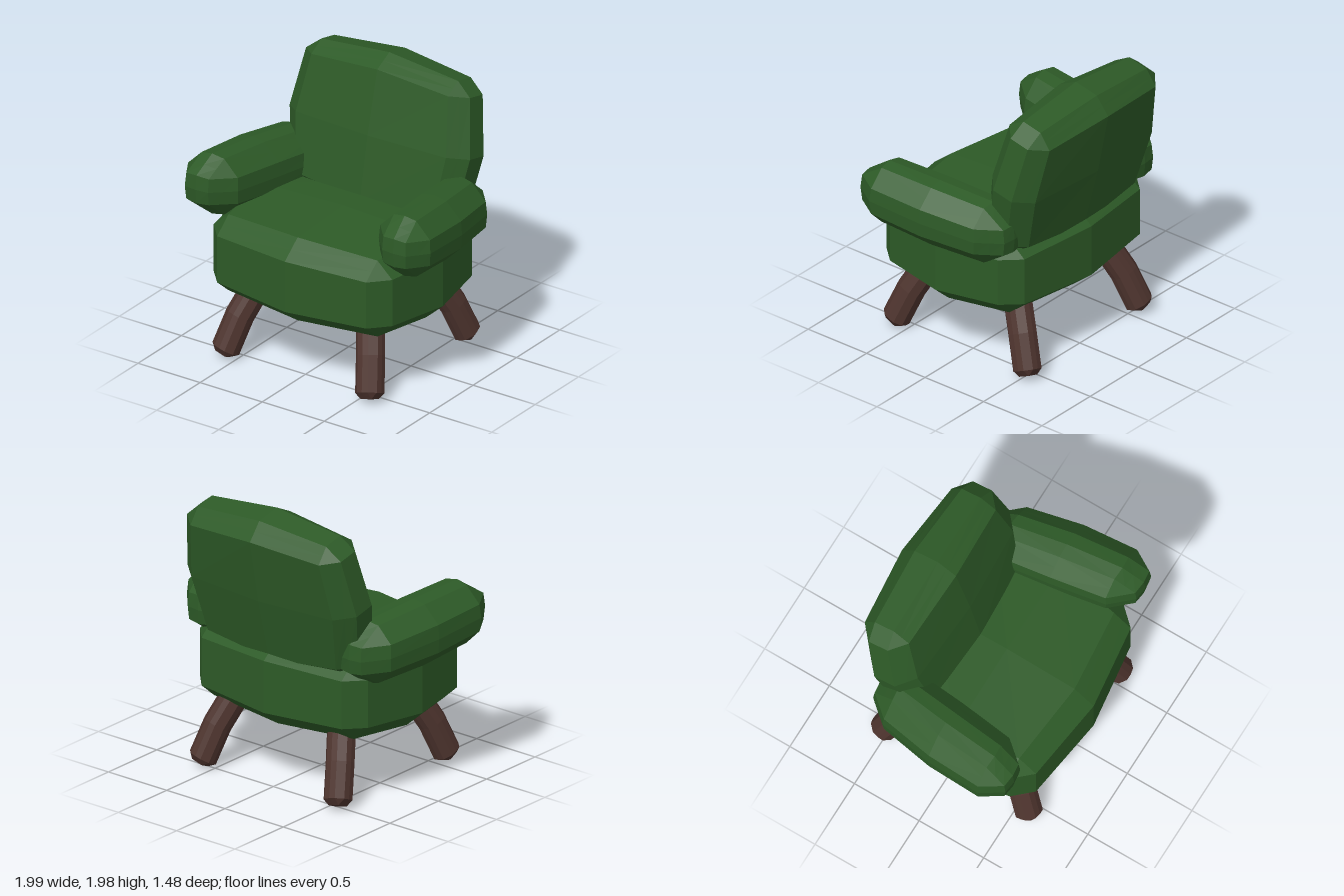
import * as THREE from 'three';

const fabric = new THREE.MeshStandardMaterial({ color: 0x2d5a27, flatShading: true });
fabric.name = 'green fabric';
const wood = new THREE.MeshStandardMaterial({ color: 0x4e342e, flatShading: true });
wood.name = 'dark wood';

// Box with bevelled edges. h: half sizes, c: bevel sizes per axis.
// warp(v, m) reshapes a vertex; m tells per axis whether it lies on the middle line (1 or 0).
function bevelBlock(name, material, h, c, warp) {
  const geometry = new THREE.BoxGeometry(2, 2, 2, 4, 4, 4);
  const pos = geometry.attributes.position;
  const v = new THREE.Vector3();
  for (let i = 0; i < pos.count; i++) {
    const g = [pos.getX(i), pos.getY(i), pos.getZ(i)];
    const n = g.filter((p) => Math.abs(p) > 0.9).length;
    const out = g.map((p, a) => {
      if (Math.abs(p) < 0.1) return 0;
      const inset = Math.abs(p) > 0.9 ? (c[a] * (n - 1)) / n : c[a];
      return Math.sign(p) * (h[a] - inset);
    });
    v.fromArray(out);
    warp(v, g.map((p) => (Math.abs(p) < 0.1 ? 1 : 0)));
    pos.setXYZ(i, v.x, v.y, v.z);
  }
  geometry.computeVertexNormals();
  const mesh = new THREE.Mesh(geometry, material);
  mesh.name = name;
  return mesh;
}

// Seat cushion, bulging at the middle of every side
function makeSeat() {
  const seat = bevelBlock('seat', fabric, [0.72, 0.28, 0.59], [0.12, 0.11, 0.13], (v, m) => {
    v.x *= 1 + 0.12 * m[2];
    v.y *= 1 + 0.09 * (m[0] + m[2]);
    v.z *= 1 + 0.135 * m[0];
  });
  seat.position.set(0, 0.752, 0.07);
  return seat;
}

// Backrest, widest at mid height and leaning backwards
function makeBackrest() {
  const back = bevelBlock('backrest', fabric, [0.66, 0.5, 0.175], [0.11, 0.09, 0.1], (v, m) => {
    v.x *= 1 + 0.1 * m[1];
    v.y *= 1 + 0.11 * m[0];
    v.z *= 1 + 0.22 * m[0] + 0.07 * m[1];
  });
  back.position.set(0, 1.43, -0.435);
  back.rotation.x = -0.22;
  return back;
}

// Padded armrest, rising and spreading towards the front
function makeArm(side) {
  const arm = bevelBlock(side > 0 ? 'leftArm' : 'rightArm', fabric,
    [0.2, 0.205, 0.545], [0.11, 0.11, 0.15], (v, m) => {
      v.x *= 1 + 0.04 * m[1] + 0.08 * m[2];
      v.y *= 1 + 0.08 * m[0] + 0.05 * m[2];
      v.z *= 1 + 0.02 * (m[0] + m[1]);
      v.x += side * (0.13 * v.z + 0.01 * m[2]);
      v.y += 0.085 * v.z;
    });
  arm.position.set(side * 0.733, 1.14, 0.065 + side * 0.015);
  return arm;
}

// Splayed leg with a bevelled foot and a slight bend
function makeLeg(name, top, foot) {
  const axis = foot.clone().sub(top);
  const length = axis.length();
  const leg = bevelBlock(name, wood, [0.088, length / 2, 0.088], [0.045, 0.04, 0.045], (v, m) => {
    v.x *= 1 + 0.06 * m[2];
    v.z *= 1 + 0.06 * m[0];
    v.x += Math.sign(top.x) * 0.012 * m[1];
    v.z += Math.sign(top.z) * 0.012 * m[1];
  });
  leg.position.copy(top).add(foot).multiplyScalar(0.5);
  leg.quaternion.setFromUnitVectors(new THREE.Vector3(0, 1, 0), axis.negate().normalize());
  return leg;
}

export function createModel() {
  const chair = new THREE.Group();
  chair.name = 'armchair';
  chair.add(makeSeat(), makeBackrest());
  for (const side of [1, -1]) {
    const label = side > 0 ? 'Left' : 'Right';
    chair.add(makeArm(side));
    chair.add(makeLeg('front' + label + 'Leg',
      new THREE.Vector3(side * 0.44, 0.55, 0.38), new THREE.Vector3(side * 0.59, 0.038, 0.605)));
    chair.add(makeLeg('back' + label + 'Leg',
      new THREE.Vector3(side * 0.44, 0.55, -0.32), new THREE.Vector3(side * 0.59, 0.042, -0.545)));
  }
  return chair;
}
